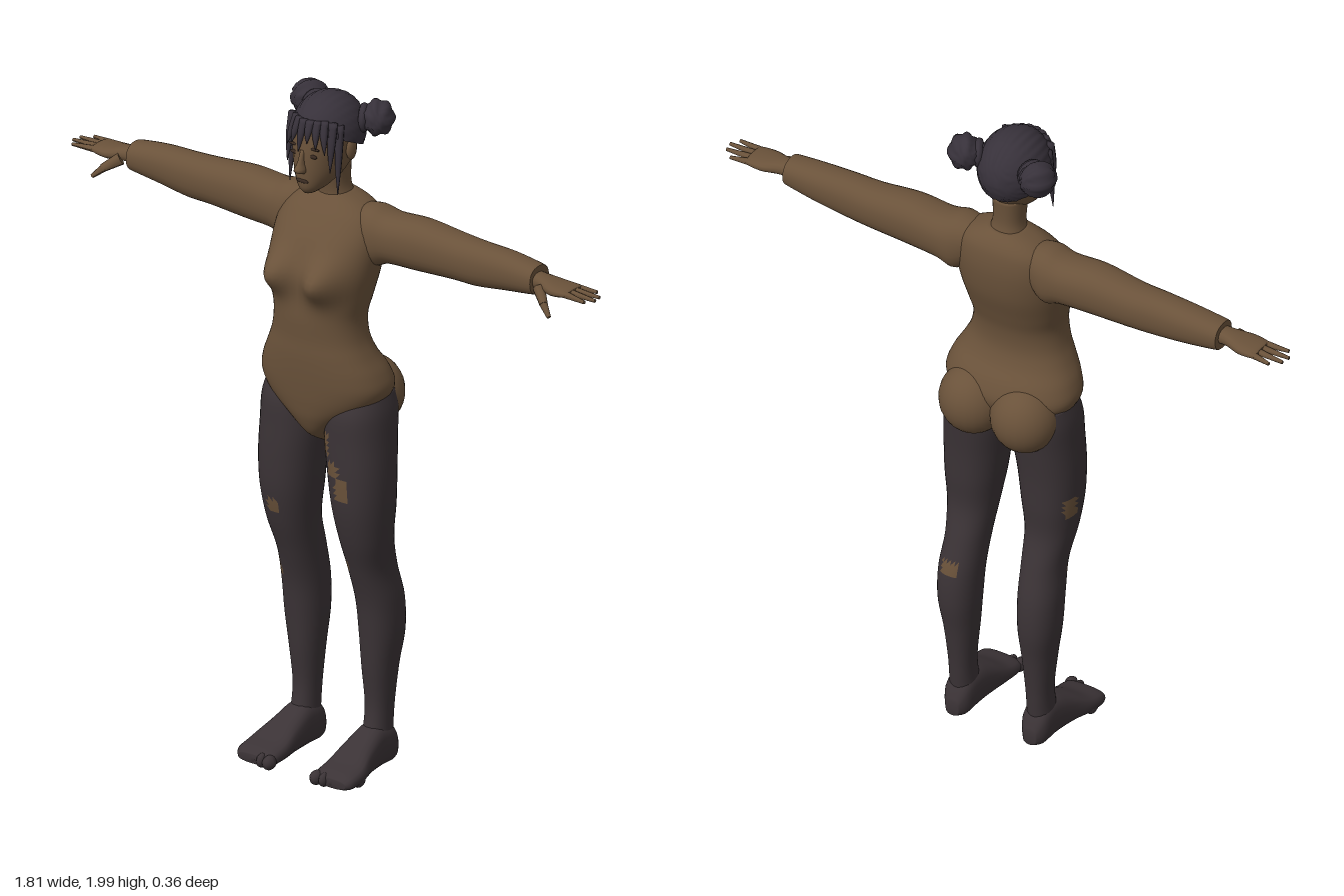
import * as THREE from 'three';

const mat = (name, color, side = THREE.FrontSide) => {
  const m = new THREE.MeshStandardMaterial({ color, side });
  m.name = name;
  return m;
};

// Smooth interpolation of one value through neighbouring sections
const spline = (a, b, c, d, t) =>
  b + 0.5 * t * (c - a + t * (2 * a - 5 * b + 4 * c - d + t * (3 * (b - c) + d - a)));

// Maps loft coordinates (u, along, v) to model axes without mirroring
const axes = {
  y: (u, t, v) => [u, t, v],
  x: (u, t, v) => [t, v, u],
  z: (u, t, v) => [v, u, t],
};

// Closed skin through sections [along, uMin, uMax, vMin, vMax]; pick(x, y, z) chooses a material slot
function loft(axis, secs, { sides = 28, steps = 5, power = 0.88, sculpt, pick } = {}) {
  const rows = [];
  const at = (i) => secs[Math.max(0, Math.min(secs.length - 1, i))];
  for (let i = 0; i < secs.length - 1; i++)
    for (let s = 0; s < steps; s++)
      rows.push(secs[0].map((_, k) => spline(at(i - 1)[k], at(i)[k], at(i + 1)[k], at(i + 2)[k], s / steps)));
  rows.push(at(secs.length));
  const pos = [];
  const put = (u, t, v) => {
    const p = axes[axis](u, t, v);
    if (sculpt) sculpt(p);
    pos.push(...p);
  };
  const bend = (c) => Math.sign(c) * Math.abs(c) ** power;
  for (const [t, u0, u1, v0, v1] of rows)
    for (let j = 0; j < sides; j++) {
      const a = (j / sides) * Math.PI * 2;
      put((u0 + u1) / 2 + ((u1 - u0) / 2) * bend(Math.cos(a)), t, (v0 + v1) / 2 + ((v1 - v0) / 2) * bend(Math.sin(a)));
    }
  const n = rows.length;
  for (const [t, u0, u1, v0, v1] of [rows[0], rows[n - 1]]) put((u0 + u1) / 2, t, (v0 + v1) / 2);
  const slots = [[], []];
  const face = (...f) => {
    const c = [0, 1, 2].map((k) => (pos[f[0] * 3 + k] + pos[f[1] * 3 + k] + pos[f[2] * 3 + k]) / 3);
    slots[pick ? pick(...c) : 0].push(...f);
  };
  for (let j = 0; j < sides; j++) {
    const k = (j + 1) % sides, last = (n - 1) * sides;
    for (let i = 0; i < n - 1; i++) {
      const r = i * sides, q = r + sides;
      face(r + j, q + j, r + k);
      face(r + k, q + j, q + k);
    }
    face(n * sides, j, k);
    face(n * sides + 1, last + k, last + j);
  }
  const g = new THREE.BufferGeometry();
  g.setAttribute('position', new THREE.Float32BufferAttribute(pos, 3));
  g.setIndex([...slots[0], ...slots[1]]);
  if (pick) {
    g.addGroup(0, slots[0].length, 0);
    g.addGroup(slots[0].length, slots[1].length, 1);
  }
  g.computeVertexNormals();
  return g;
}

// Mirrored copy across x = 0 with corner order restored
function mirror(geo) {
  const g = geo.clone().scale(-1, 1, 1);
  const ix = g.index.array;
  for (let i = 0; i < ix.length; i += 3) [ix[i], ix[i + 1]] = [ix[i + 1], ix[i]];
  g.computeVertexNormals();
  return g;
}

const ball = (x, y, z, rx, ry, rz, w = 20, h = 14) =>
  new THREE.SphereGeometry(1, w, h).scale(rx, ry, rz).translate(x, y, z);

// Tapered rod between two points
function rod(p, q, r0, r1, sides = 8) {
  const a = new THREE.Vector3(...p), b = new THREE.Vector3(...q), d = b.clone().sub(a);
  const g = new THREE.CylinderGeometry(r1, r0, d.length(), sides);
  g.applyQuaternion(new THREE.Quaternion().setFromUnitVectors(new THREE.Vector3(0, 1, 0), d.normalize()));
  return g.translate((p[0] + q[0]) / 2, (p[1] + q[1]) / 2, (p[2] + q[2]) / 2);
}

// Strand grooves pressed into a rounded hair form
function groove(g, count, depth) {
  const p = g.attributes.position;
  for (let i = 0; i < p.count; i++) {
    const k = 1 + depth * Math.cos(count * Math.atan2(p.getY(i), p.getX(i) || 1e-6));
    p.setXYZ(i, p.getX(i) * k, p.getY(i) * k, p.getZ(i) * k);
  }
  g.computeVertexNormals();
  return g;
}

export function createModel() {
  const model = new THREE.Group();
  const brown = mat('brown', 0x6a523a);
  const dark = mat('legging charcoal', 0x3b3336);
  const hair = mat('hair black', 0x37313a, THREE.DoubleSide);
  const shade = mat('feature brown', 0x3a2b22);
  const add = (name, geo, m) => {
    const mesh = new THREE.Mesh(geo, m);
    mesh.name = name;
    model.add(mesh);
  };
  const pair = (name, geo, m) => {
    add('left' + name, geo, m);
    add('right' + name, mirror(geo), m);
  };

  // Torso with a rounded chest
  const body = [
    [0.965, 0.012, -0.03, 0.02], [1.0, 0.04, -0.07, 0.075], [1.05, 0.1, -0.1, 0.103], [1.1, 0.168, -0.12, 0.115],
    [1.15, 0.2, -0.135, 0.122], [1.2, 0.19, -0.12, 0.127], [1.25, 0.164, -0.09, 0.13], [1.3, 0.143, -0.075, 0.13],
    [1.36, 0.135, -0.078, 0.133], [1.42, 0.146, -0.095, 0.13], [1.5, 0.16, -0.12, 0.125], [1.58, 0.165, -0.13, 0.1],
    [1.64, 0.15, -0.125, 0.06], [1.675, 0.11, -0.11, 0.03], [1.7, 0.05, -0.085, 0.008],
  ].map(([y, w, b, f]) => [y, -w, w, b, f]);
  add('torso', loft('y', body, {
    sides: 56,
    sculpt: (p) => {
      if (p[2] > 0)
        p[2] += 0.06 * Math.exp(-(((Math.abs(p[0]) - 0.078) / 0.052) ** 2) - ((p[1] - 1.485) / 0.058) ** 2);
    },
  }), brown);
  pair('Seat', ball(0.083, 1.1, -0.083, 0.098, 0.105, 0.097, 24, 18), brown);

  // Legs in leggings, with worn patches [x, y, z, half width, half height]
  const leg = [
    [0.08, 0.088, 0.162, -0.11, -0.01], [0.14, 0.09, 0.16, -0.115, -0.024], [0.2, 0.088, 0.162, -0.12, -0.028],
    [0.3, 0.08, 0.172, -0.132, -0.018], [0.4, 0.072, 0.186, -0.147, -0.01], [0.5, 0.068, 0.188, -0.143, 0.002],
    [0.6, 0.064, 0.182, -0.118, 0.03], [0.7, 0.056, 0.195, -0.092, 0.065], [0.8, 0.042, 0.206, -0.096, 0.088],
    [0.9, 0.03, 0.209, -0.1, 0.095], [1.0, 0.018, 0.205, -0.11, 0.095], [1.08, 0.02, 0.2, -0.118, 0.092],
    [1.135, 0.03, 0.188, -0.11, 0.07],
  ];
  const worn = {
    left: [[0.12, 0.87, 0.09, 0.02, 0.035], [0.085, 0.925, 0.09, 0.018, 0.02], [0.085, 0.62, 0.02, 0.015, 0.02],
      [0.05, 0.99, 0.07, 0.022, 0.03], [0.13, 0.52, -0.14, 0.022, 0.02]],
    right: [[0.13, 0.755, 0.07, 0.016, 0.02], [0.165, 0.55, -0.01, 0.016, 0.03], [0.2, 0.8, -0.035, 0.02, 0.03]],
  };
  for (const side of ['left', 'right']) {
    const pick = (x, y, z) => +worn[side].some(([a, b, c, w, h]) =>
      Math.hypot(x - a, z - c) < w * 1.2 && Math.abs(y - b) < h);
    const g = loft('y', leg, { sides: 36, steps: 6, pick });
    add(side + 'Leg', side === 'left' ? g : mirror(g), [dark, brown]);
  }

  // Feet with toes
  pair('Foot', loft('z', [
    [-0.13, 0.015, 0.06, 0.105, 0.145], [-0.1, 0.004, 0.115, 0.085, 0.165], [-0.04, 0.004, 0.13, 0.08, 0.17],
    [0.03, 0.004, 0.1, 0.074, 0.183], [0.09, 0.004, 0.066, 0.068, 0.2], [0.14, 0.004, 0.05, 0.07, 0.2],
    [0.16, 0.01, 0.035, 0.085, 0.185],
  ], { sides: 20, power: 0.75 }), dark);
  for (let i = 0; i < 5; i++)
    pair('Toe' + (i + 1), ball(0.082 + i * 0.026, 0.024, 0.153 - i * i * 0.0035, i ? 0.014 : 0.018, 0.021, 0.024, 10, 8), dark);

  // Sleeved arms
  pair('Arm', loft('x', [
    [0.07, -0.09, 0.0, 1.58, 1.67], [0.14, -0.115, 0.028, 1.51, 1.683], [0.2, -0.115, 0.022, 1.525, 1.672],
    [0.3, -0.112, 0.02, 1.53, 1.678], [0.42, -0.107, 0.01, 1.535, 1.667], [0.5, -0.1, 0.008, 1.537, 1.664],
    [0.6, -0.098, 0.003, 1.55, 1.66], [0.69, -0.09, 0.0, 1.563, 1.65], [0.7, -0.086, -0.004, 1.567, 1.646],
  ]), brown);

  // Hands
  pair('Palm', loft('x', [
    [0.67, -0.072, -0.016, 1.58, 1.632], [0.72, -0.072, -0.012, 1.585, 1.628], [0.77, -0.085, 0.004, 1.584, 1.62],
    [0.815, -0.086, 0.0, 1.59, 1.616], [0.825, -0.08, -0.008, 1.594, 1.612],
  ], { sides: 16 }), brown);
  const tips = [0.888, 0.905, 0.9, 0.872];
  tips.forEach((x, i) => {
    const z = -0.013 - i * 0.02, spread = 0.008 - i * 0.006;
    pair('Finger' + (i + 1), rod([0.81, 1.603, z], [x, 1.601, z + spread], 0.0105, 0.005), brown);
  });
  pair('ThumbBase', rod([0.725, 1.598, -0.012], [0.765, 1.57, 0.018], 0.018, 0.012), brown);
  pair('ThumbTip', rod([0.76, 1.573, 0.015], [0.792, 1.543, 0.03], 0.012, 0.006), brown);

  // Neck and head
  add('neck', loft('y', [
    [1.65, -0.07, 0.07, -0.1, 0.02], [1.69, -0.052, 0.052, -0.085, 0.012], [1.73, -0.044, 0.044, -0.077, 0.016],
    [1.8, -0.048, 0.048, -0.08, 0.03],
  ]), brown);
  add('head', loft('y', [
    [1.727, -0.016, 0.016, 0.05, 0.098], [1.745, -0.038, 0.038, 0.0, 0.11], [1.78, -0.06, 0.06, -0.06, 0.114],
    [1.82, -0.071, 0.071, -0.09, 0.115], [1.87, -0.078, 0.078, -0.1, 0.112], [1.93, -0.076, 0.076, -0.095, 0.1],
    [1.97, -0.04, 0.04, -0.05, 0.05],
  ], { power: 0.95 }), brown);
  add('nose', loft('y', [
    [1.792, -0.01, 0.01, 0.1, 0.122], [1.803, -0.016, 0.016, 0.1, 0.141], [1.825, -0.009, 0.009, 0.1, 0.13],
    [1.86, -0.007, 0.007, 0.095, 0.115],
  ], { sides: 12, steps: 3 }), brown);
  add('mouth', ball(0, 1.768, 0.112, 0.022, 0.006, 0.004, 12, 8), shade);
  pair('Eye', ball(0.032, 1.845, 0.105, 0.014, 0.006, 0.004, 12, 8), shade);
  pair('Brow', ball(0.034, 1.867, 0.103, 0.02, 0.004, 0.004, 12, 8), shade);
  pair('Ear', ball(0.08, 1.845, -0.005, 0.011, 0.032, 0.02, 12, 10), brown);

  // Hair cap with combed grooves, tilted back off the face
  const cap = new THREE.SphereGeometry(1, 72, 20, 0, Math.PI * 2, 0, Math.PI * 0.55);
  groove(cap.rotateX(-0.45), 26, 0.012).scale(0.098, 0.11, 0.116).translate(0, 1.884, -0.006);
  add('hairCap', cap, hair);

  // Coiled side buns
  const bun = groove(new THREE.SphereGeometry(1, 36, 14), 7, 0.07).scale(0.046, 0.05, 0.052);
  pair('Bun', bun.rotateY(0.6).translate(0.118, 1.925, -0.075), hair);
  const tie = new THREE.TorusGeometry(0.03, 0.012, 8, 20).rotateY(Math.PI / 2 + 0.5);
  pair('BunTie', tie.translate(0.084, 1.922, -0.056), hair);

  // Pointed fringe strands and long locks beside the face
  const strand = (x, y, z, tipX, tipY, tipZ, w) => loft('y', [
    [tipY, tipX - 0.001, tipX + 0.001, tipZ - 0.001, tipZ + 0.001],
    [(y + tipY) / 2, (x + tipX) / 2 - w * 0.8, (x + tipX) / 2 + w * 0.8, (z + tipZ) / 2 - 0.008, (z + tipZ) / 2 + 0.01],
    [y, x - w, x + w, z - 0.012, z + 0.008],
  ], { sides: 8, steps: 4 });
  [[-0.055, 1.86], [-0.032, 1.875], [-0.008, 1.855], [0.018, 1.885], [0.04, 1.87], [0.06, 1.855]].forEach(([x, tip], i) =>
    add('fringe' + (i + 1), strand(x * 0.8, 1.945, 0.098 - x * x * 6, x * 1.1, tip, 0.119 - x * x * 6, 0.013), hair));
  pair('FaceLock', strand(0.078, 1.93, 0.045, 0.083, 1.73, 0.06, 0.013), hair);
  pair('TempleLock', strand(0.07, 1.94, 0.065, 0.074, 1.8, 0.083, 0.014), hair);
  return model;
}
